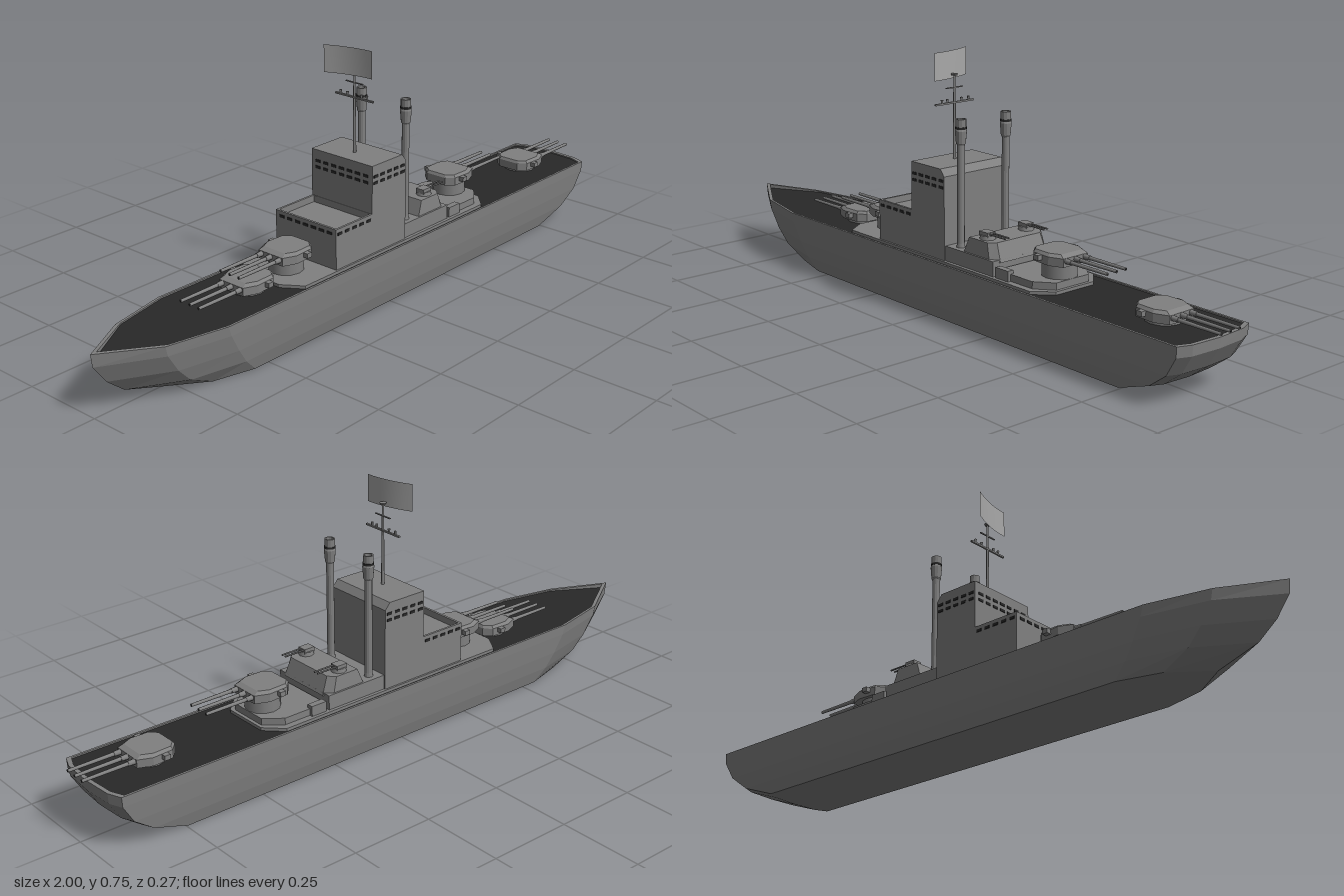
import * as THREE from 'three';

const mat = (name, color) => {
  const m = new THREE.MeshStandardMaterial({ color });
  m.name = name;
  return m;
};

// Plan outline, mirrored across z: half is [x, z] from bow to stern
const ring = (half, y) => [
  ...half.map(([x, z]) => [x, y, z]),
  ...half.filter(p => p[1] > 0).reverse().map(([x, z]) => [x, y, -z]),
];

// Faceted loft through closed rings, capped at both ends
function loft(rings) {
  const pos = [];
  const n = rings[0].length;
  const tri = (...pts) => pts.forEach(p => pos.push(...p));
  for (let k = 0; k + 1 < rings.length; k++) {
    for (let i = 0; i < n; i++) {
      const j = (i + 1) % n, lo = rings[k], hi = rings[k + 1];
      tri(lo[i], lo[j], hi[j]);
      tri(lo[i], hi[j], hi[i]);
    }
  }
  const mid = r => [0, 1, 2].map(a => r.reduce((s, p) => s + p[a], 0) / n);
  const bottom = rings[0], top = rings[rings.length - 1];
  for (let i = 0; i < n; i++) {
    const j = (i + 1) % n;
    tri(mid(bottom), bottom[j], bottom[i]);
    tri(mid(top), top[i], top[j]);
  }
  const g = new THREE.BufferGeometry();
  g.setAttribute('position', new THREE.Float32BufferAttribute(pos, 3));
  g.computeVertexNormals();
  return g;
}

const rect = (x0, x1, z) => [[x0, z], [x1, z]];

export function createModel() {
  const ship = new THREE.Group();
  ship.name = 'battleship';
  const grey = mat('hullGrey', 0x808080);
  const dark = mat('deckBlack', 0x282828);
  const pale = mat('flagGrey', 0xa8a8a8);
  pale.side = THREE.DoubleSide;

  const add = (name, geo, m, x = 0, y = 0, z = 0, parent = ship) => {
    const mesh = new THREE.Mesh(geo, m);
    mesh.name = name;
    mesh.position.set(x, y, z);
    parent.add(mesh);
    return mesh;
  };
  const box = (name, m, w, h, d, x, y, z, parent) =>
    add(name, new THREE.BoxGeometry(w, h, d), m, x, y, z, parent);
  const prism = (name, m, half, y0, y1, parent) =>
    add(name, loft([ring(half, y0), ring(half, y1)]), m, 0, 0, 0, parent);

  // Hull: waterline outlines widening upward, with a rim around a sunken deck
  const outline = (bow, shoulder, w, stern) => [
    [bow, 0], [bow + (shoulder - bow) * 0.47, w * 0.71], [shoulder, w],
    [stern - 0.022, w], [stern - 0.006, w * 0.7], [stern, 0],
  ];
  const levels = [
    [0, -0.78, -0.55, 0.114, 0.765], [0.04, -0.9, -0.59, 0.123, 0.875],
    [0.085, -0.955, -0.62, 0.129, 0.935], [0.14, -0.995, -0.65, 0.133, 0.968],
    [0.17, -1, -0.66, 0.134, 0.97],
  ];
  const inner = outline(-0.98, -0.655, 0.127, 0.958);
  const hullRings = levels.map(([y, ...o]) => ring(outline(...o), y));
  hullRings.push(ring(inner, 0.17), ring(inner, 0.162));
  hullRings[4][0][1] = hullRings[5][0][1] = 0.178;
  add('hull', loft(hullRings), grey);
  prism('mainDeck', dark, inner, 0.161, 0.166);

  // Raised platforms amidships
  prism('midPlatform', grey,
    [[-0.4, 0.06], [-0.36, 0.12], [0.42, 0.12], [0.47, 0.07]], 0.162, 0.175);
  prism('aftPlatform', grey,
    [[0.27, 0.1], [0.41, 0.1], [0.46, 0.06]], 0.175, 0.195);

  // Bridge with an open top, and the tower behind it
  add('bridge', loft([
    ring(rect(-0.23, -0.08, 0.114), 0.17), ring(rect(-0.23, -0.08, 0.114), 0.295),
    ring(rect(-0.223, -0.081, 0.107), 0.295), ring(rect(-0.223, -0.081, 0.107), 0.275),
  ]), grey);
  add('tower', loft([
    ring(rect(-0.08, 0.065, 0.114), 0.17), ring(rect(-0.08, 0.065, 0.114), 0.417),
    ring(rect(-0.08, 0.048, 0.114), 0.437),
  ]), grey);

  // Window slits around bridge and tower
  const slits = (x0, x1, y, count) => {
    for (let i = 0; i < count; i++) {
      const t = (i + 0.5) / count;
      for (const s of [-1, 1])
        box('window', dark, 0.017, 0.008, 0.004, x0 + (x1 - x0) * t, y, s * 0.114);
    }
    for (let i = 0; i < 7; i++)
      box('frontWindow', dark, 0.004, 0.008, 0.018, x0, y, (i - 3) * 0.03);
  };
  slits(-0.23, -0.08, 0.28, 5);
  slits(-0.08, 0.065, 0.385, 5);
  slits(-0.08, 0.065, 0.404, 5);

  // Funnel base and aft deckhouse
  prism('funnelBase', grey, rect(0.065, 0.265, 0.11), 0.17, 0.218);
  add('aftHouse', loft([
    ring([[0.135, 0.105], [0.245, 0.105], [0.268, 0.085]], 0.21),
    ring([[0.155, 0.1], [0.23, 0.1], [0.248, 0.08]], 0.262),
  ]), grey);

  for (const s of [-1, 1]) {
    // Tall funnel with a thicker cap
    const funnel = new THREE.LatheGeometry([
      [0.013, 0.215], [0.011, 0.23], [0.011, 0.51], [0.014, 0.515], [0.017, 0.55],
      [0.015, 0.555], [0.015, 0.583], [0.011, 0.583], [0.011, 0.57], [0, 0.57],
    ].map(p => new THREE.Vector2(...p)), 12).toNonIndexed();
    funnel.computeVertexNormals();
    add('funnel', funnel, grey, 0.1, 0, s * 0.083);
    add('funnelMouth', new THREE.CylinderGeometry(0.011, 0.011, 0.004, 12), dark, 0.1, 0.571, s * 0.083);
    add('funnelBand', new THREE.CylinderGeometry(0.0165, 0.0165, 0.006, 12), dark, 0.1, 0.558, s * 0.083);

    // Light gun on the aft deckhouse
    add('lightGunMount', new THREE.CylinderGeometry(0.02, 0.023, 0.012, 8), grey, 0.2, 0.267, s * 0.072);
    box('lightGunHouse', grey, 0.035, 0.014, 0.028, 0.198, 0.276, s * 0.072);
    for (const o of [-0.007, 0.007]) {
      const b = add('lightGunBarrel', new THREE.CylinderGeometry(0.0025, 0.0025, 0.08, 6), grey, 0.24, 0.279, s * 0.072 + o);
      b.rotation.z = Math.PI / 2;
    }
    box('aftSideLocker', grey, 0.05, 0.03, 0.02, 0.3, 0.19, s * 0.1);
  }

  // Triple turret on a drum, built firing toward +x
  const turret = (name, x, floor, y, dir, barrelEnd) => {
    const g = new THREE.Group();
    g.name = name;
    g.position.set(x, 0, 0);
    if (dir < 0) g.rotation.y = Math.PI;
    ship.add(g);
    const plan = [[-0.063, 0.035], [-0.042, 0.058], [0.02, 0.062], [0.06, 0.045]];
    const roof = [[-0.058, 0.032], [-0.04, 0.052], [0.015, 0.054], [0.045, 0.04]];
    add('turretDrum', new THREE.CylinderGeometry(0.05, 0.05, y - floor + 0.002, 12), grey, 0, (y + floor) / 2, 0, g);
    add('turretHouse', loft([ring(plan, y), ring(plan, y + 0.024), ring(roof, y + 0.032)]), grey, 0, 0, 0, g);
    box('rangefinder', grey, 0.018, 0.014, 0.15, -0.015, y + 0.017, 0, g);
    const len = Math.abs(barrelEnd - x);
    for (const z of [-0.034, 0, 0.034]) {
      const along = (part, r0, r1, a, b, m) => {
        const c = add(part, new THREE.CylinderGeometry(r1, r0, b - a, 8), m, (a + b) / 2, y + 0.016, z, g);
        c.rotation.z = -Math.PI / 2;
      };
      along('gunSleeve', 0.009, 0.007, 0.035, 0.08, grey);
      along('gunBarrel', 0.006, 0.0045, 0.05, len, grey);
      along('gunBore', 0.003, 0.003, len - 0.002, len + 0.0005, dark);
    }
  };
  turret('lowerForwardTurret', -0.46, 0.16, 0.177, -1, -0.67);
  turret('upperForwardTurret', -0.31, 0.16, 0.213, -1, -0.525);
  turret('upperAftTurret', 0.41, 0.16, 0.236, 1, 0.62);
  turret('lowerAftTurret', 0.785, 0.16, 0.177, 1, 1);

  // Mast with two yards
  const mx = -0.025;
  add('mast', new THREE.CylinderGeometry(0.003, 0.005, 0.246, 8), grey, mx, 0.558, 0);
  box('lowerYard', grey, 0.006, 0.005, 0.14, mx, 0.6, 0);
  box('upperYard', grey, 0.004, 0.003, 0.062, mx, 0.643, 0);
  add('mastCap', new THREE.CylinderGeometry(0.01, 0.008, 0.005, 8), grey, mx, 0.68, 0);
  for (const z of [-0.052, -0.026, 0.026, 0.046])
    add('yardLamp', new THREE.CylinderGeometry(0.004, 0.003, 0.01, 6), grey, mx, 0.607, z);

  // Flag: a sheet bent backward toward one end
  const flag = new THREE.PlaneGeometry(0.147, 0.08, 6, 1);
  flag.rotateY(Math.PI / 2);
  const p = flag.attributes.position;
  for (let i = 0; i < p.count; i++) {
    const t = 0.5 - p.getZ(i) / 0.147;
    p.setX(i, -0.035 * t * t);
  }
  flag.computeVertexNormals();
  add('flag', flag, pale, -0.03, 0.707, -0.0045);

  return ship;
}
